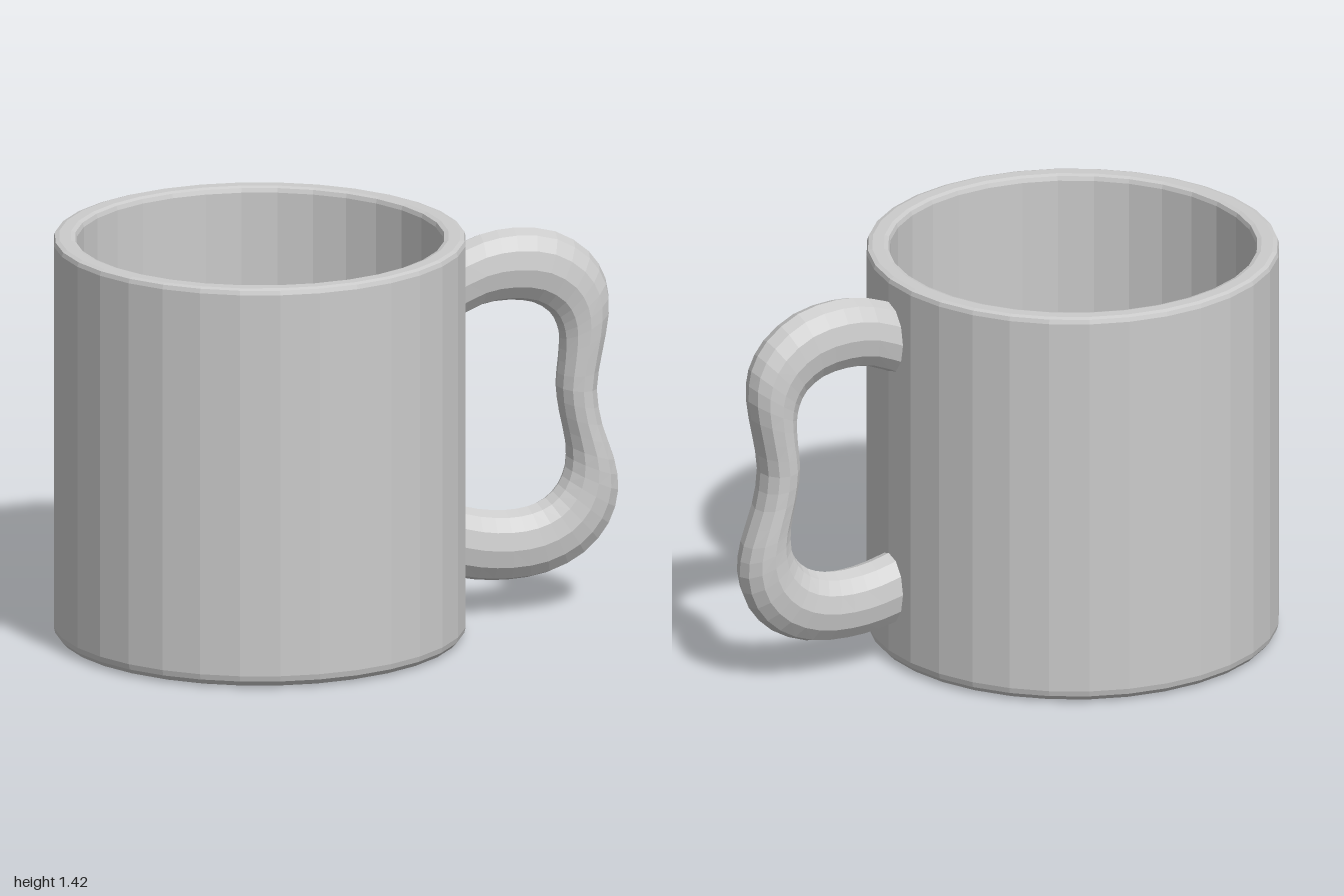
import * as THREE from 'three';

const material = new THREE.MeshStandardMaterial({ color: 0xcccccc, flatShading: true });

const curve = (points) =>
  new THREE.CatmullRomCurve3(points.map(([x, y]) => new THREE.Vector3(x, y, 0)));

// Sweeps an oval section between an outer and an inner outline
function ovalSweep(outer, inner, halfWidth, steps, sides) {
  const positions = [], indices = [];
  for (let i = 0; i <= steps; i++) {
    const o = outer.getPoint(i / steps);
    const n = inner.getPoint(i / steps);
    const centre = o.clone().add(n).multiplyScalar(0.5);
    const half = o.clone().sub(n).multiplyScalar(0.5);
    for (let j = 0; j < sides; j++) {
      const t = (j / sides) * Math.PI * 2;
      const p = centre.clone().addScaledVector(half, Math.cos(t));
      positions.push(p.x, p.y, halfWidth * Math.sin(t));
      if (i === steps) continue;
      const a = i * sides + j, b = i * sides + ((j + 1) % sides);
      indices.push(a, b, b + sides, a, b + sides, a + sides);
    }
  }
  const geometry = new THREE.BufferGeometry();
  geometry.setAttribute('position', new THREE.Float32BufferAttribute(positions, 3));
  geometry.setIndex(indices);
  geometry.computeVertexNormals();
  return geometry;
}

export function createModel() {
  const mug = new THREE.Group();
  mug.name = 'mug';

  // Cup: hollow faceted body with a bevelled foot and rim
  const profile = [
    [0, 0], [0.665, 0], [0.69, 0.008], [0.705, 0.025], [0.71, 0.045],
    [0.71, 1.4], [0.705, 1.415], [0.69, 1.42],
    [0.65, 1.42], [0.635, 1.415], [0.63, 1.4],
    [0.63, 0.1], [0.61, 0.08], [0, 0.08],
  ].map(([x, y]) => new THREE.Vector2(x, y));
  const cup = new THREE.Mesh(new THREE.LatheGeometry(profile, 32), material);
  cup.name = 'cup';
  cup.position.x = -0.29;
  mug.add(cup);

  // Handle: pinched grip, ends buried in the cup wall
  const outer = curve([
    [0.37, 1.31], [0.5, 1.36], [0.62, 1.375], [0.77, 1.35], [0.89, 1.27], [0.95, 1.17],
    [0.96, 1.06], [0.935, 0.92], [0.915, 0.79], [0.935, 0.66], [0.98, 0.53],
    [0.995, 0.42], [0.96, 0.3], [0.87, 0.2], [0.74, 0.14], [0.6, 0.125], [0.48, 0.135], [0.37, 0.16],
  ]);
  const inner = curve([
    [0.37, 1.05], [0.5, 1.11], [0.6, 1.12], [0.69, 1.105], [0.75, 1.065], [0.775, 1.02],
    [0.785, 0.97], [0.783, 0.89], [0.775, 0.8], [0.787, 0.7], [0.808, 0.59],
    [0.805, 0.51], [0.78, 0.45], [0.735, 0.405], [0.67, 0.38], [0.59, 0.373], [0.49, 0.385], [0.37, 0.42],
  ]);
  const handle = new THREE.Mesh(ovalSweep(outer, inner, 0.09, 34, 12), material);
  handle.name = 'handle';
  mug.add(handle);

  return mug;
}
